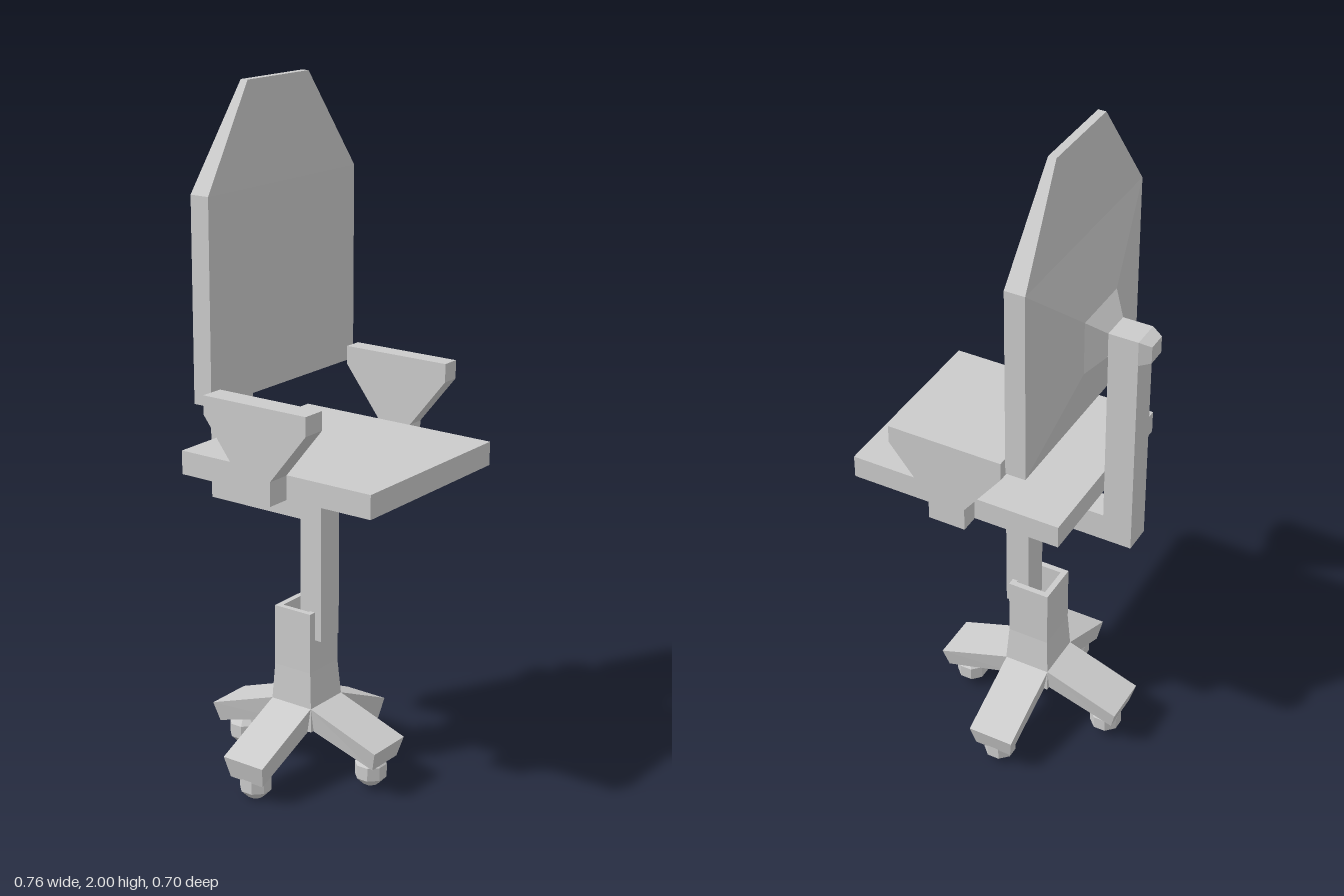
import * as THREE from 'three';

const material = new THREE.MeshStandardMaterial({ color: 0xcccccc, flatShading: true });

function mesh(name, geometry) {
  const m = new THREE.Mesh(geometry, material);
  m.name = name;
  return m;
}

// Solid through successive rings of equal corner count, capped at both ends.
function loft(name, rings) {
  const tris = [];
  const n = rings[0].length;
  for (let r = 0; r < rings.length - 1; r++) {
    for (let i = 0; i < n; i++) {
      const j = (i + 1) % n;
      const a = rings[r][i], b = rings[r][j], c = rings[r + 1][j], d = rings[r + 1][i];
      tris.push([a, b, c], [a, c, d]);
    }
  }
  const first = rings[0], last = rings[rings.length - 1];
  for (let i = 1; i < n - 1; i++) {
    tris.push([first[0], first[i + 1], first[i]], [last[0], last[i], last[i + 1]]);
  }
  // Turn every face outward when the enclosed volume comes out negative.
  const v = (p) => new THREE.Vector3(...p);
  const volume = tris.reduce((s, [a, b, c]) => s + v(a).dot(v(b).cross(v(c))), 0);
  if (volume < 0) tris.forEach((t) => t.reverse());
  const g = new THREE.BufferGeometry();
  g.setAttribute('position', new THREE.Float32BufferAttribute(tris.flat(2), 3));
  g.computeVertexNormals();
  return mesh(name, g);
}

// Four-cornered rings: level in y (with optional tilt along x) and upright in x.
const ringY = (y, x0, x1, z0, z1, yFront = y) =>
  [[x0, y, z0], [x1, yFront, z0], [x1, yFront, z1], [x0, y, z1]];
const ringX = (x, y0, y1, z0, z1) =>
  [[x, y0, z0], [x, y1, z0], [x, y1, z1], [x, y0, z1]];

// Side profile in x/y extruded from z0 to z1.
function profile(name, points, z0, z1) {
  const shape = new THREE.Shape(points.map(([x, y]) => new THREE.Vector2(x, y)));
  const g = new THREE.ExtrudeGeometry(shape, { depth: z1 - z0, bevelEnabled: false });
  g.translate(0, 0, z0);
  return mesh(name, g);
}

export function createModel() {
  const chair = new THREE.Group();
  chair.name = 'officeChair';

  // Seat slab with its shallow tapered underside
  chair.add(loft('seat', [
    ringY(1.0, -0.253, 0.38, -0.297, 0.277),
    ringY(0.932, -0.253, 0.38, -0.297, 0.277),
    ringY(0.865, -0.03, 0.11, -0.05, 0.035, 0.885),
  ]));

  // Armrests, flaring from a narrow foot to a flat pad
  const arm = [[0, 0.932], [0.11, 0.932], [0.11, 1.0], [0.227, 1.145],
    [0.227, 1.198], [-0.112, 1.198], [-0.112, 1.145], [0, 1.0]];
  chair.add(profile('armrestLeft', arm, 0.28, 0.35));
  chair.add(profile('armrestRight', arm, -0.352, -0.298));

  // Backrest panel with clipped, thinning top
  chair.add(loft('backrest', [
    ringY(1.155, -0.174, -0.115, -0.332, 0.313),
    ringY(1.72, -0.174, -0.115, -0.332, 0.313),
    ringY(2.0, -0.156, -0.133, -0.142, 0.123),
  ]));

  // Rear shell narrowing into the mounting block
  chair.add(loft('backrestMount', [
    ringX(-0.174, 1.155, 1.72, -0.332, 0.313),
    ringX(-0.22, 1.36, 1.52, -0.1, 0.082),
    ringX(-0.264, 1.4, 1.473, -0.052, 0.033),
    ringX(-0.35, 1.4, 1.473, -0.052, 0.033),
    ringX(-0.382, 1.41, 1.46, -0.037, 0.02),
  ]));

  // Bent bar: rear upright, run under the seat, and central post
  chair.add(profile('supportBar', [[-0.35, 0.78], [-0.03, 0.78], [-0.03, 0.425],
    [0.042, 0.425], [0.042, 0.865], [-0.264, 0.865], [-0.264, 1.402], [-0.35, 1.402]], -0.05, 0.035));

  // Hollow base column and hub
  chair.add(loft('baseColumn', [
    ringY(0.15, -0.112, 0.027, -0.083, 0.063),
    ringY(0.223, -0.112, 0.027, -0.083, 0.063),
    ringY(0.33, -0.105, 0.021, -0.073, 0.058),
    ringY(0.51, -0.105, 0.021, -0.073, 0.058),
    ringY(0.51, -0.088, 0.004, -0.056, 0.041),
    ringY(0.34, -0.088, 0.004, -0.056, 0.041),
  ]));

  // Octagonal caster wheel
  const k = 1 / Math.cos(Math.PI / 8);
  const casterGeometry = new THREE.LatheGeometry(
    [[0, -0.043], [0.022, -0.043], [0.043, -0.02], [0.043, 0.02], [0.022, 0.043], [0, 0.043]]
      .map(([r, y]) => new THREE.Vector2(r * k, y)), 8);
  casterGeometry.rotateY(Math.PI / 8);

  // Four sloping legs with casters; the sideways pair dips lower
  for (let i = 0; i < 4; i++) {
    const low = i % 2 === 1;
    const inner = low ? 0.072 : 0.069, outer = low ? 0.298 : 0.293;
    const top = low ? 0.122 : 0.145, bottom = low ? 0.058 : 0.087;
    const wt = low ? 0.069 : 0.073, wb = low ? 0.057 : 0.06;
    const section = (xt, xb, yt, yb) =>
      [[xt, yt, -wt], [xt, yt, wt], [xb, yb, wb], [xb, yb, -wb]];
    const leg = new THREE.Group();
    leg.name = 'leg' + (i + 1);
    leg.add(loft('legArm', [
      section(inner, inner - 0.02, 0.223, 0.155),
      section(outer, outer - 0.016, top, bottom),
    ]));
    const caster = mesh('caster', casterGeometry);
    caster.position.set(low ? 0.24 : 0.23, low ? 0.043 : 0.056, 0);
    leg.add(caster);
    leg.position.set(-0.043, 0, -0.01);
    leg.rotation.y = i * Math.PI / 2;
    chair.add(leg);
  }
  return chair;
}
